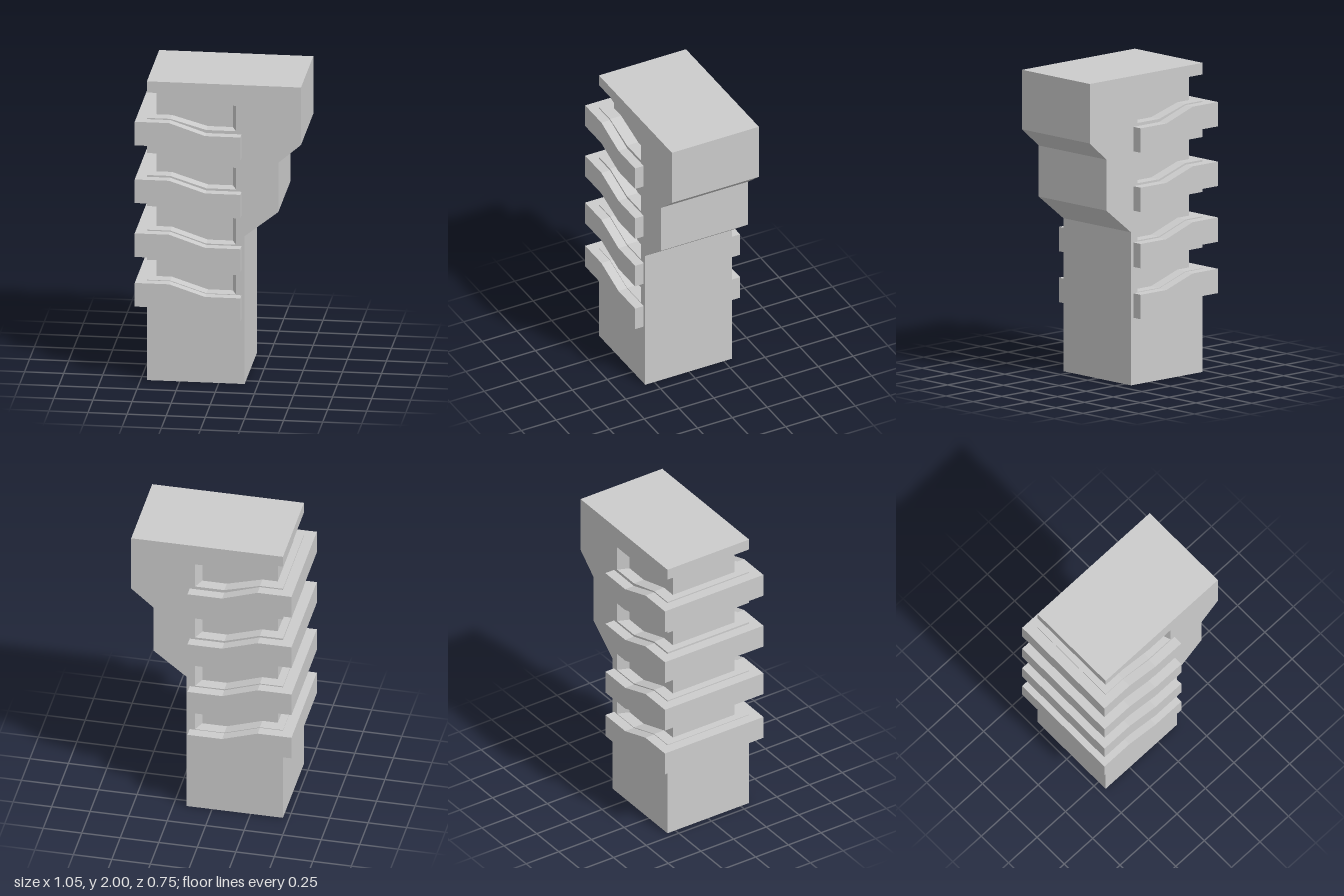
import * as THREE from 'three';

const FRONT = 0.315, BACK = -0.31;

// Wavy line running in +x: high at the side, dropping to a lower level near the spine
const wave = (x0, x1, high, low) => [[x0, high], [-0.31, high], [-0.08, low], [x1, low]];

const toShape = (points) => new THREE.Shape(points.map(([x, y]) => new THREE.Vector2(x, y)));

function prism(name, points, z0, z1, material) {
  const geometry = new THREE.ExtrudeGeometry(toShape(points), { depth: z1 - z0, bevelEnabled: false });
  geometry.translate(0, 0, z0);
  const mesh = new THREE.Mesh(geometry, material);
  mesh.name = name;
  return mesh;
}

export function createModel() {
  const group = new THREE.Group();
  group.name = 'bandedPillar';
  const material = new THREE.MeshStandardMaterial({ color: 0xcccccc, flatShading: true });

  // Each level: notch ceiling, notch floor and band top, as [high, low] heights
  const levels = [
    { ceiling: [1.925, 1.86], floor: [1.755, 1.69], band: [1.747, 1.67] },
    { ceiling: [1.52, 1.445], floor: [1.373, 1.3], band: [1.361, 1.286] },
    { ceiling: [1.165, 1.107], floor: [1.007, 0.93], band: [1.0, 0.922] },
    { ceiling: [0.805, 0.726], floor: [0.672, 0.597], band: [0.668, 0.593] },
  ];

  // Body: stepped outline on the +x side, notches cut from the -x side
  const outline = [
    [-0.46, 0], [0.165, 0], [0.165, 0.99], [0.38, 1.16],
    [0.38, 1.49], [0.525, 1.615], [0.525, 2], [-0.46, 2],
  ];
  for (const { ceiling, floor } of levels) {
    outline.push(...wave(-0.46, 0.11, ...ceiling), ...wave(-0.46, 0.11, ...floor).reverse());
  }
  group.add(prism('body', outline, BACK, FRONT, material));

  // Recessed core inside the notches, flaring out to meet the body
  const plan = [
    [-0.41, -0.235], [0.08, -0.235], [0.11, -FRONT],
    [0.11, -BACK], [0.08, 0.235], [-0.41, 0.235],
  ];
  const core = prism('core', plan, 0.5, 1.95, material);
  core.geometry.rotateX(-Math.PI / 2);
  group.add(core);

  // Bands wrapping the front, -x side and back
  levels.forEach(({ band: [high, low] }, i) => {
    const points = [
      ...wave(-0.53, 0.145, high, low).reverse(),
      ...wave(-0.53, 0.145, high - 0.158, low - 0.158),
    ];
    group.add(prism(`band${i + 1}`, points, -0.377, 0.377, material));
  });

  return group;
}
